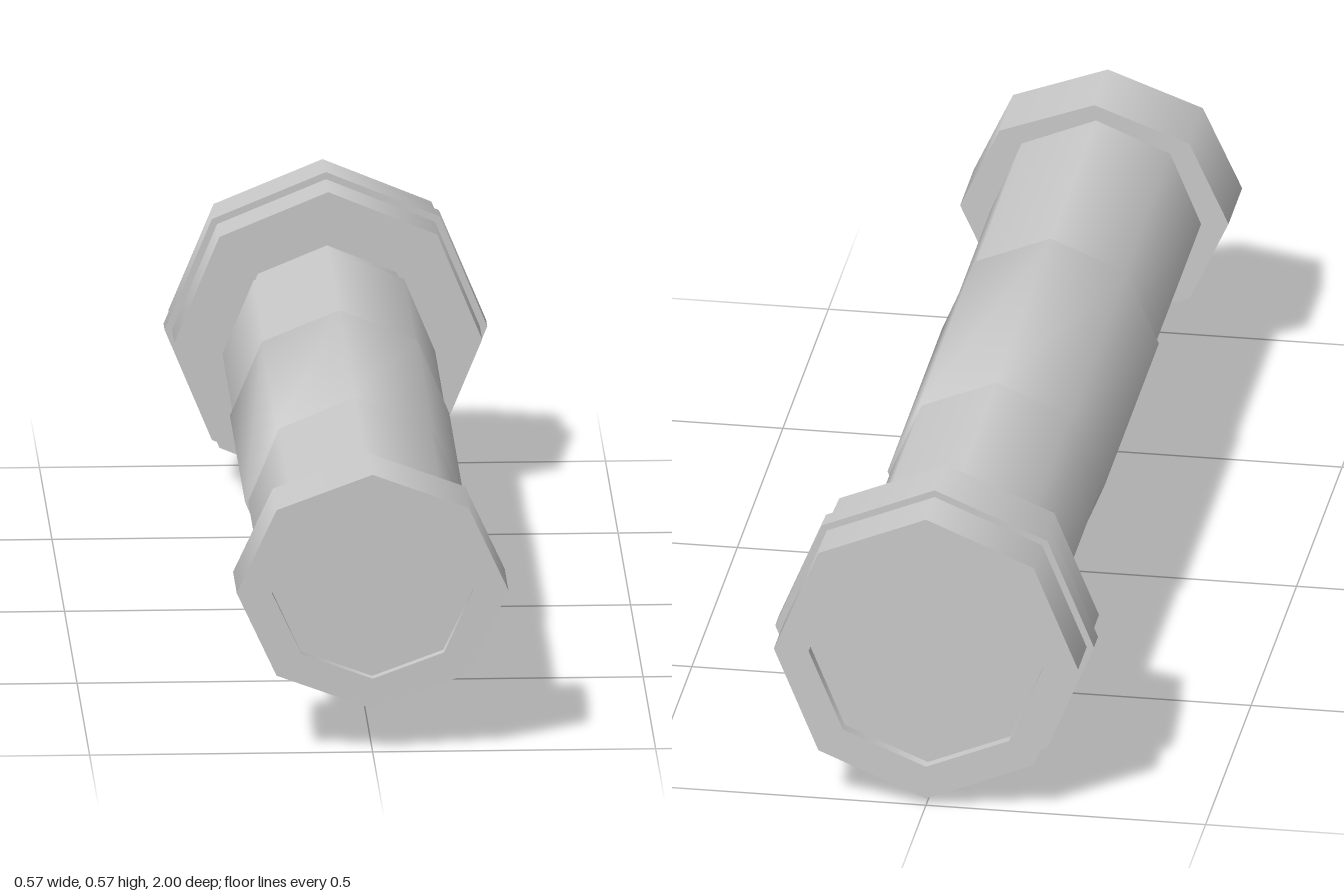
import * as THREE from 'three';
import { mergeGeometries, mergeVertices } from 'three/addons/utils/BufferGeometryUtils.js';

const SIDES = 8;
const material = new THREE.MeshStandardMaterial({ color: 0xcccccc });

// Turned octagonal part along z: smooth around, sharp at every profile corner.
// The profile is [radius, z], running from the back to the front.
function turned(name, profile, x, y, scaleY = 1) {
  const bands = [];
  for (let i = 0; i < profile.length - 1; i++) {
    const points = [profile[i], profile[i + 1]].map(([r, z]) => new THREE.Vector2(r, z));
    bands.push(new THREE.LatheGeometry(points, SIDES));
  }
  const geometry = mergeGeometries(bands);
  geometry.rotateX(Math.PI / 2);
  geometry.scale(1, scaleY, 1);
  const mesh = new THREE.Mesh(geometry, material);
  mesh.name = name;
  mesh.position.set(x, y, 0);
  return mesh;
}

// Plain capped section
const section = (r, back, front) => [[0, back], [r, back], [r, front], [0, front]];

export function createModel() {
  const group = new THREE.Group();

  // Barrel and the narrower neck behind it
  group.add(turned('barrel', section(0.188, -0.68, 0.86), -0.003, 0.289));
  group.add(turned('neck', section(0.173, -0.78, -0.67), -0.002, 0.288));

  // Front cap, slightly flattened, with a shallow recess
  group.add(turned('frontCap',
    [[0, 0.85], [0.24, 0.85], [0.24, 1], [0.178, 1], [0.178, 0.98], [0, 0.98]],
    0, 0.293, 0.89));

  // Rear head with a recessed end, and its raised ring
  group.add(turned('rearHead',
    [[0, -0.98], [0.21, -0.98], [0.21, -1], [0.272, -1], [0.272, -0.77], [0, -0.77]],
    0, 0.286));
  group.add(turned('headRing', section(0.285, -0.905, -0.86), 0, 0.286));

  // Grip sleeve, with normals blended softly over its ends
  let sleeve = new THREE.CylinderGeometry(0.19, 0.19, 0.6, SIDES);
  sleeve.deleteAttribute('normal');
  sleeve.deleteAttribute('uv');
  sleeve = mergeVertices(sleeve, 1e-4);
  sleeve.rotateX(Math.PI / 2);
  sleeve.scale(1.02, 1, 1);
  sleeve.computeVertexNormals();
  const grip = new THREE.Mesh(sleeve, material);
  grip.name = 'grip';
  grip.position.set(-0.003, 0.289, 0.05);
  group.add(grip);

  return group;
}
